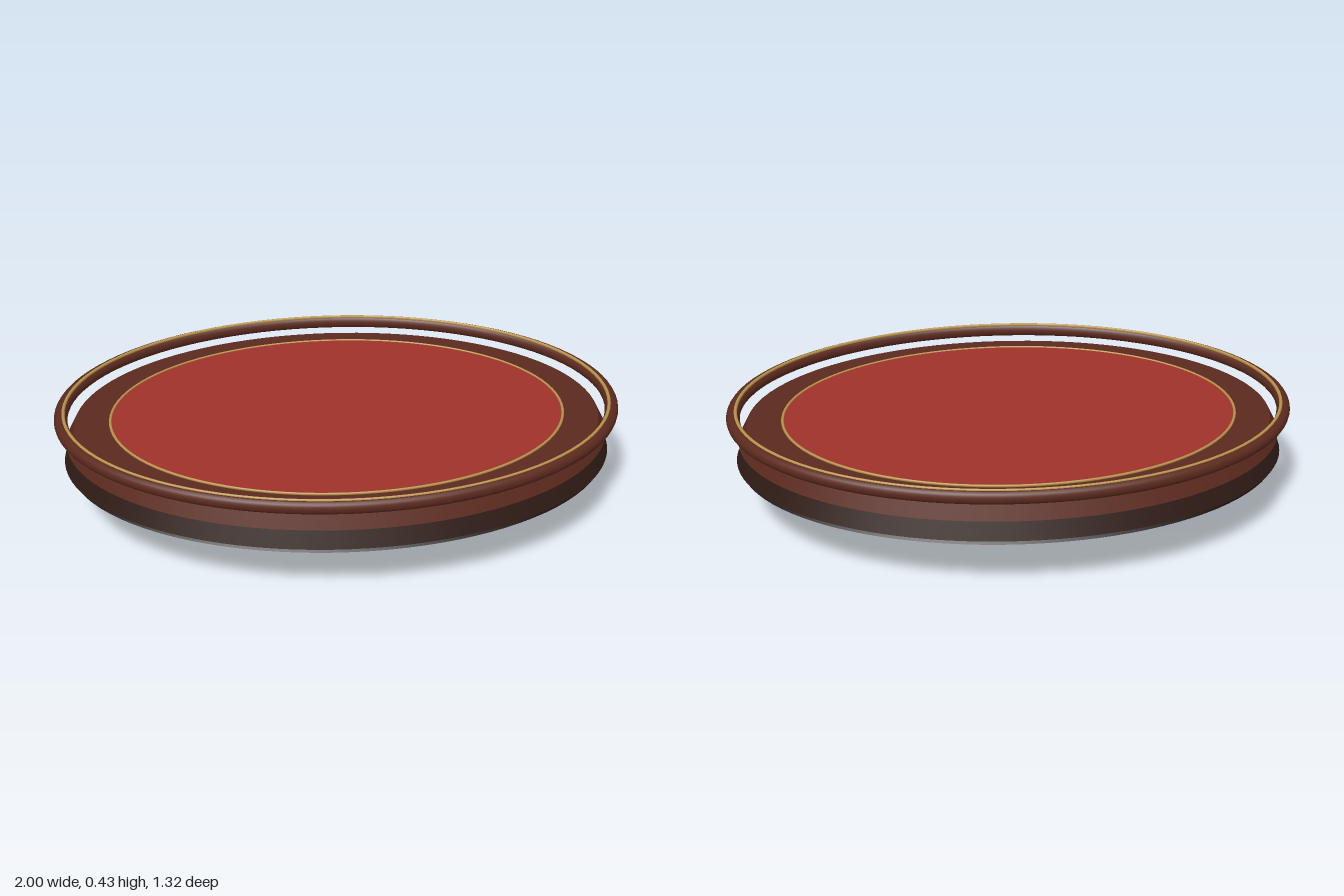
import * as THREE from 'three';

const DEPTH = 0.66; // oval ratio of depth to width
const SEGMENTS = 96;

const material = (color) => new THREE.MeshStandardMaterial({ color });

export function createModel() {
  const model = new THREE.Group();
  const mahogany = material(0x5c2a1e);
  const darkWood = material(0x2e1a14);
  const underside = material(0x1a100d);
  const brass = material(0xb8924a);
  const felt = material(0xa0322b);

  const add = (name, geometry, mat, y, depth) => {
    const mesh = new THREE.Mesh(geometry, mat);
    mesh.name = name;
    mesh.position.y = y;
    mesh.scale.z = depth;
    model.add(mesh);
  };

  // Tapered solid between two heights, oval unless depth is 1
  const drum = (name, mat, bottomRadius, topRadius, y0, y1, depth = DEPTH) =>
    add(name, new THREE.CylinderGeometry(topRadius, bottomRadius, y1 - y0, SEGMENTS), mat, (y0 + y1) / 2, depth);

  // Horizontal round-section hoop
  const hoop = (name, mat, radius, tube, y, depth = DEPTH) =>
    add(name, new THREE.TorusGeometry(radius, tube, 16, SEGMENTS).rotateX(Math.PI / 2), mat, y, depth);

  // Foot and pedestal
  drum('base', mahogany, 0.355, 0.32, 0, 0.042);
  hoop('baseTrim', brass, 0.335, 0.006, 0.042);
  drum('pedestal', darkWood, 0.15, 0.115, 0.04, 0.235, 1);
  hoop('pedestalTrim', brass, 0.165, 0.005, 0.051, 1);

  // Stacked flaring apron
  drum('bottomPlate', underside, 0.963, 0.945, 0.218, 0.235);
  drum('lowerApron', darkWood, 0.974, 0.937, 0.235, 0.307);
  drum('tableTop', mahogany, 0.963, 0.932, 0.307, 0.368);

  // Playing surface with its trim
  drum('feltSurface', felt, 0.8, 0.8, 0.376, 0.382);
  hoop('feltTrim', brass, 0.804, 0.005, 0.381);

  // Raised rail around the edge
  hoop('rail', mahogany, 0.976, 0.024, 0.403);
  hoop('railTrim', brass, 0.966, 0.006, 0.426);

  return model;
}
